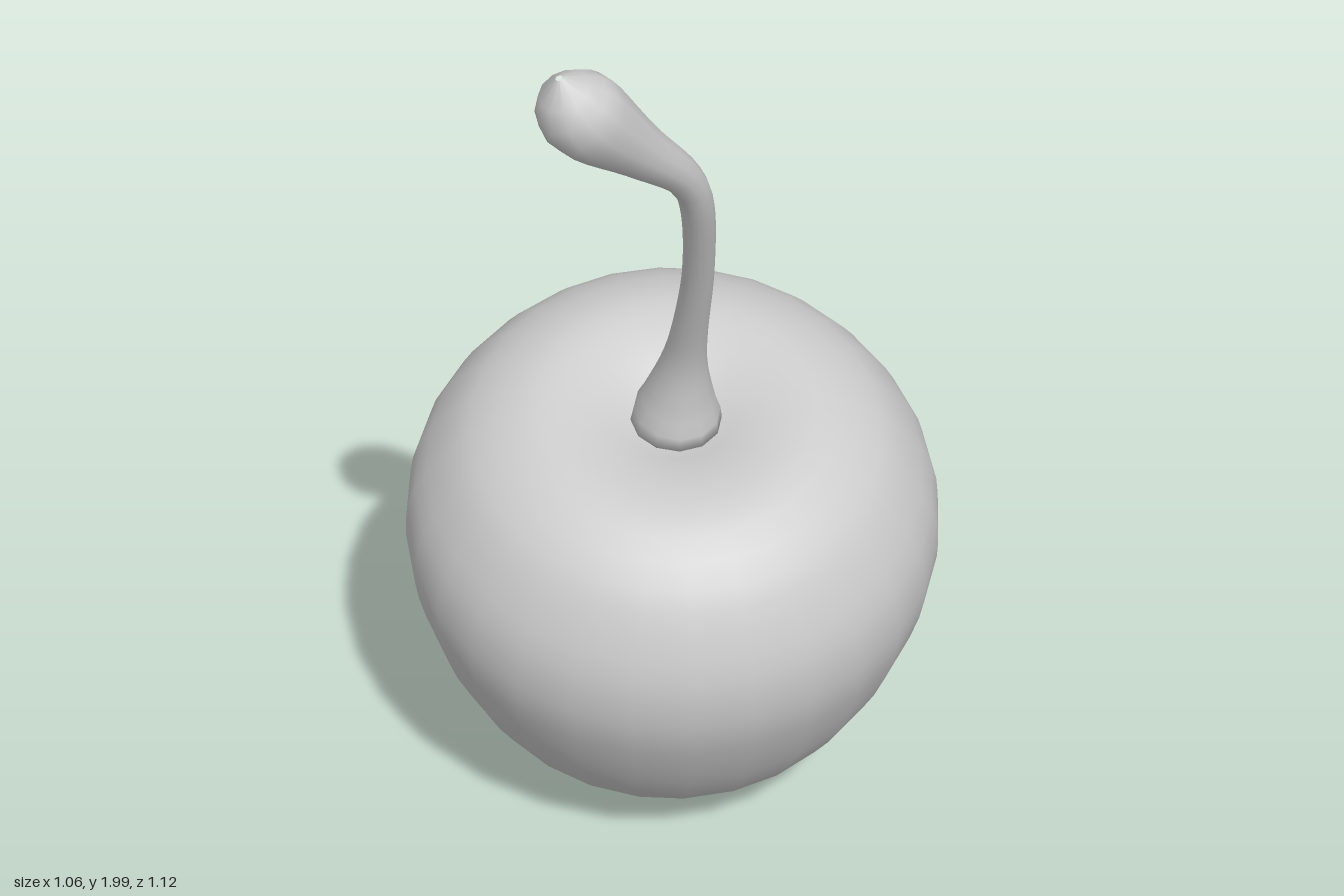
import * as THREE from 'three';
import { mergeVertices } from 'three/addons/utils/BufferGeometryUtils.js';

const material = new THREE.MeshStandardMaterial({ color: 0xcccccc, roughness: 0.8 });

// Round fruit with a dimple at both ends, turned about its own axis and tilted forward
function createFruit() {
  const profile = [
    [0, -0.445], [0.08, -0.46], [0.17, -0.475], [0.26, -0.425], [0.35, -0.345],
    [0.43, -0.235], [0.49, -0.09], [0.525, 0.06], [0.53, 0.16], [0.51, 0.26],
    [0.46, 0.35], [0.4, 0.42], [0.31, 0.47], [0.23, 0.48], [0.14, 0.46],
    [0.07, 0.43], [0, 0.41],
  ].map(([r, h]) => new THREE.Vector2(r, h));
  const points = new THREE.SplineCurve(profile).getPoints(32);
  points[0].x = points[points.length - 1].x = 0;
  const fruit = new THREE.Mesh(new THREE.LatheGeometry(points, 28), material);
  fruit.name = 'fruit';
  fruit.rotation.x = THREE.MathUtils.degToRad(15);
  fruit.position.set(0, 0.51, -0.05);
  return fruit;
}

// Bent stem: a tube whose radius follows its own curve, flared at the base, swollen at the tip
function createStem() {
  // x, y, z, radius
  const stations = [
    [0, 0.91, 0.065, 0.05], [0, 0.945, 0.07, 0.09], [0.003, 1.0, 0.083, 0.073],
    [0.01, 1.1, 0.113, 0.047], [0.017, 1.2, 0.152, 0.036], [0.026, 1.4, 0.243, 0.03],
    [0.016, 1.6, 0.337, 0.031], [-0.015, 1.7, 0.385, 0.035], [-0.1, 1.8, 0.443, 0.052],
    [-0.19, 1.9, 0.49, 0.077], [-0.222, 1.955, 0.51, 0.057], [-0.235, 1.995, 0.52, 0.006],
  ];
  const path = new THREE.CatmullRomCurve3(
    stations.map(([x, y, z]) => new THREE.Vector3(x, y, z)), false, 'catmullrom');
  const radii = new THREE.CatmullRomCurve3(
    stations.map((s) => new THREE.Vector3(s[3], 0, 0)), false, 'catmullrom');

  const rings = 40, sides = 12;
  const tube = new THREE.TubeGeometry(path, rings, 1, sides, false);
  const position = tube.attributes.position;
  const vertex = new THREE.Vector3();
  for (let i = 0; i < position.count; i++) {
    const u = Math.floor(i / (sides + 1)) / rings;
    const centre = path.getPointAt(u);
    const radius = Math.max(0.004, radii.getPoint(path.getUtoTmapping(u)).x);
    vertex.fromBufferAttribute(position, i).sub(centre).multiplyScalar(radius).add(centre);
    position.setXYZ(i, vertex.x, vertex.y, vertex.z);
  }
  // Weld the seam so the shading runs smoothly around the stem
  tube.deleteAttribute('uv');
  tube.deleteAttribute('normal');
  const geometry = mergeVertices(tube, 1e-5);
  geometry.computeVertexNormals();
  const stem = new THREE.Mesh(geometry, material);
  stem.name = 'stem';
  return stem;
}

export function createModel() {
  const model = new THREE.Group();
  model.name = 'cherry';
  model.add(createFruit(), createStem());
  return model;
}
